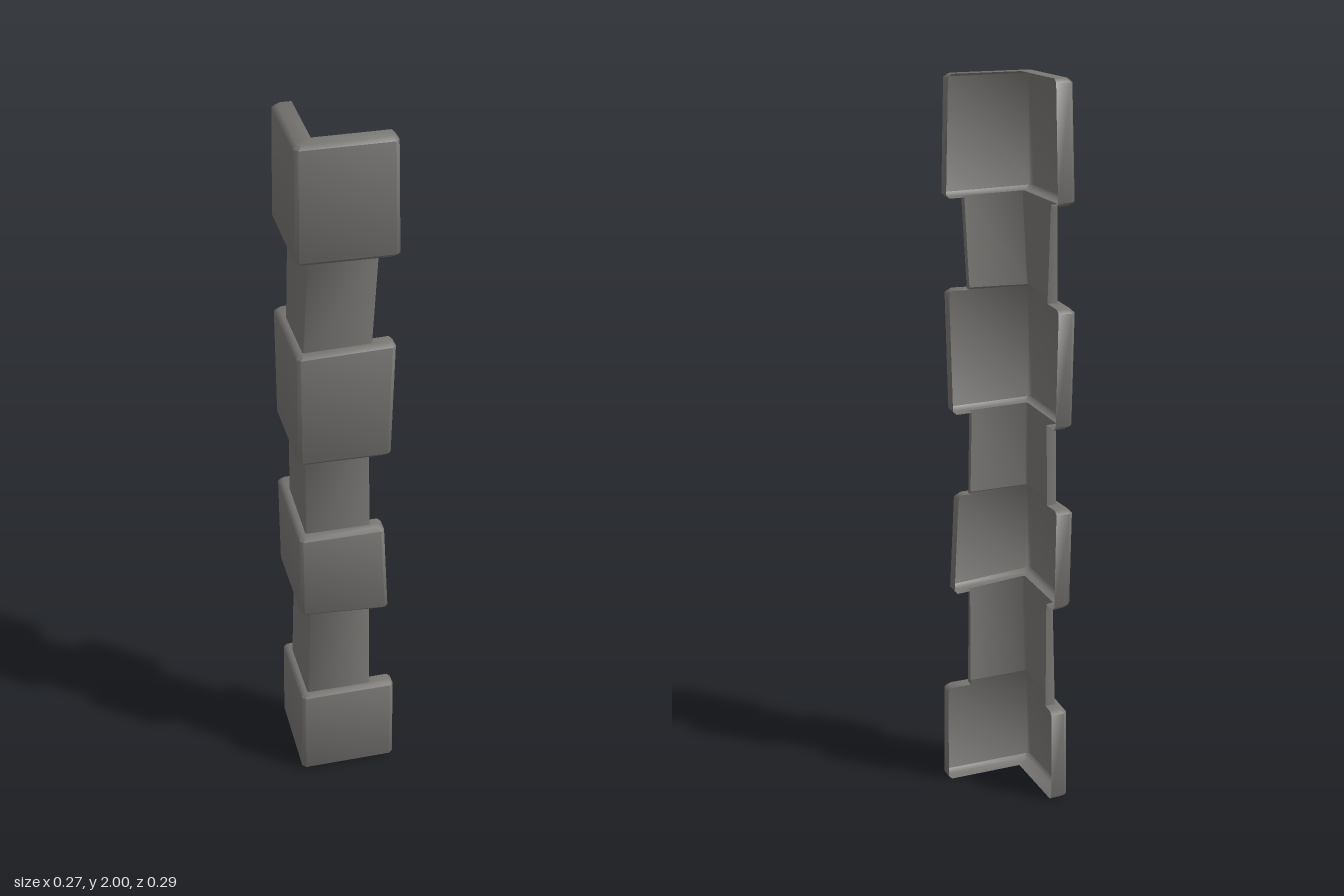
import * as THREE from 'three';
import { toCreasedNormals } from 'three/addons/utils/BufferGeometryUtils.js';

const INNER_X = -0.085, INNER_Z = 0.1, N = 9;
const BEVEL = 0.01, NARROW_BEVEL = 0.004;

// One end of a wide stone: height, outer faces, arm ends, edge tilt along each arm
const end = (y, xo, zo, xe, ze, dx = 0, dz = 0) => ({ y, xo, zo, xe, ze, dx, dz });
// One end of a narrow stone, which takes its height from the wide stone it meets
const neck = (xo, zo, xe, ze) => ({ xo, zo, xe, ze });

// L-shaped outline in plan: inner corner first, outer corners chamfered by c
function outline(e, inset, c) {
  const xo = e.xo + inset, zo = e.zo - inset, xe = e.xe - inset, ze = e.ze + inset;
  return [
    [INNER_X, INNER_Z], [xe, INNER_Z], [xe, zo - c], [xe - c, zo], [xo + c, zo],
    [xo, zo - c], [xo, ze + c], [xo + c, ze], [INNER_X, ze],
  ];
}

// Lifts an outline onto the tilted edge plane of a wide stone's end
const lift = (points, e) => points.map(([x, z]) => {
  const u = (x - e.xo) / (e.xe - e.xo), v = (e.zo - z) / (e.zo - e.ze);
  return [x, e.y + e.dx * u + e.dz * v, z];
});

// Ring where a narrow stone meets a wide one
const joint = (n, e) => lift(outline(n, 0, NARROW_BEVEL), e);

// Skin through the rings, open along the inner side of the L, with optional end caps
function skin(rings, capBottom, capTop) {
  const index = [], last = (rings.length - 1) * N;
  for (let a = 0; a < last; a += N) {
    for (let i = 1; i < N - 1; i++) {
      const j = i + 1, b = a + N;
      index.push(a + j, a + i, b + i, a + j, b + i, b + j);
    }
  }
  for (let i = 1; i < N - 1; i++) {
    if (capBottom) index.push(0, i, i + 1);
    if (capTop) index.push(last, last + i + 1, last + i);
  }
  const g = new THREE.BufferGeometry();
  g.setAttribute('position', new THREE.Float32BufferAttribute(rings.flat(2), 3));
  g.setIndex(index);
  return toCreasedNormals(g, 1.0);
}

// Bevelled rings of a wide stone from its bottom end to its top end
function wideRings(bottom, top) {
  const t = BEVEL / (top.y - bottom.y);
  return [[0, BEVEL], [t, 0], [1 - t, 0], [1, BEVEL]].map(([f, inset]) => {
    const e = {};
    for (const k in bottom) e[k] = THREE.MathUtils.lerp(bottom[k], top[k], f);
    return lift(outline(e, inset, BEVEL), e);
  });
}

export function createModel() {
  const group = new THREE.Group();
  const stone = new THREE.MeshStandardMaterial({ color: 0x777572, side: THREE.DoubleSide });
  stone.name = 'greyStone';

  const add = (name, geometry) => {
    const mesh = new THREE.Mesh(geometry, stone);
    mesh.name = name;
    group.add(mesh);
  };

  // Bottom and top ends, listed from the ground up
  const wide = [
    [end(0, -0.136, 0.145, 0.137, -0.127), end(0.29, -0.134, 0.143, 0.135, -0.123, 0, -0.02)],
    [end(0.592, -0.134, 0.145, 0.114, -0.136, -0.02, -0.009), end(0.86, -0.135, 0.145, 0.099, -0.145, 0, 0.009)],
    [end(1.1, -0.135, 0.145, 0.113, -0.134, -0.005, -0.009), end(1.432, -0.135, 0.145, 0.121, -0.147, 0.007, -0.016)],
    [end(1.687, -0.136, 0.145, 0.127, -0.137, -0.005, -0.004), end(2, -0.134, 0.145, 0.118, -0.118)],
  ];
  const narrow = [
    [neck(-0.115, 0.125, 0.067, -0.083), neck(-0.106, 0.116, 0.067, -0.083)],
    [neck(-0.114, 0.121, 0.064, -0.083), neck(-0.115, 0.122, 0.059, -0.076)],
    [neck(-0.116, 0.124, 0.063, -0.076), neck(-0.105, 0.126, 0.076, -0.093)],
  ];

  // Wide stones, with a ledge running in to each narrow neighbour
  wide.forEach(([b, t], i) => {
    const rings = wideRings(b, t), below = narrow[i - 1], above = narrow[i];
    if (below) rings.unshift(joint(below[1], b));
    if (above) rings.push(joint(above[0], t));
    add(`wideStone${i + 1}`, skin(rings, !below, !above));
  });

  // Narrow stones between them
  narrow.forEach(([b, t], i) => {
    const rings = [joint(b, wide[i][1]), joint(t, wide[i + 1][0])];
    add(`narrowStone${i + 1}`, skin(rings, false, false));
  });

  return group;
}
